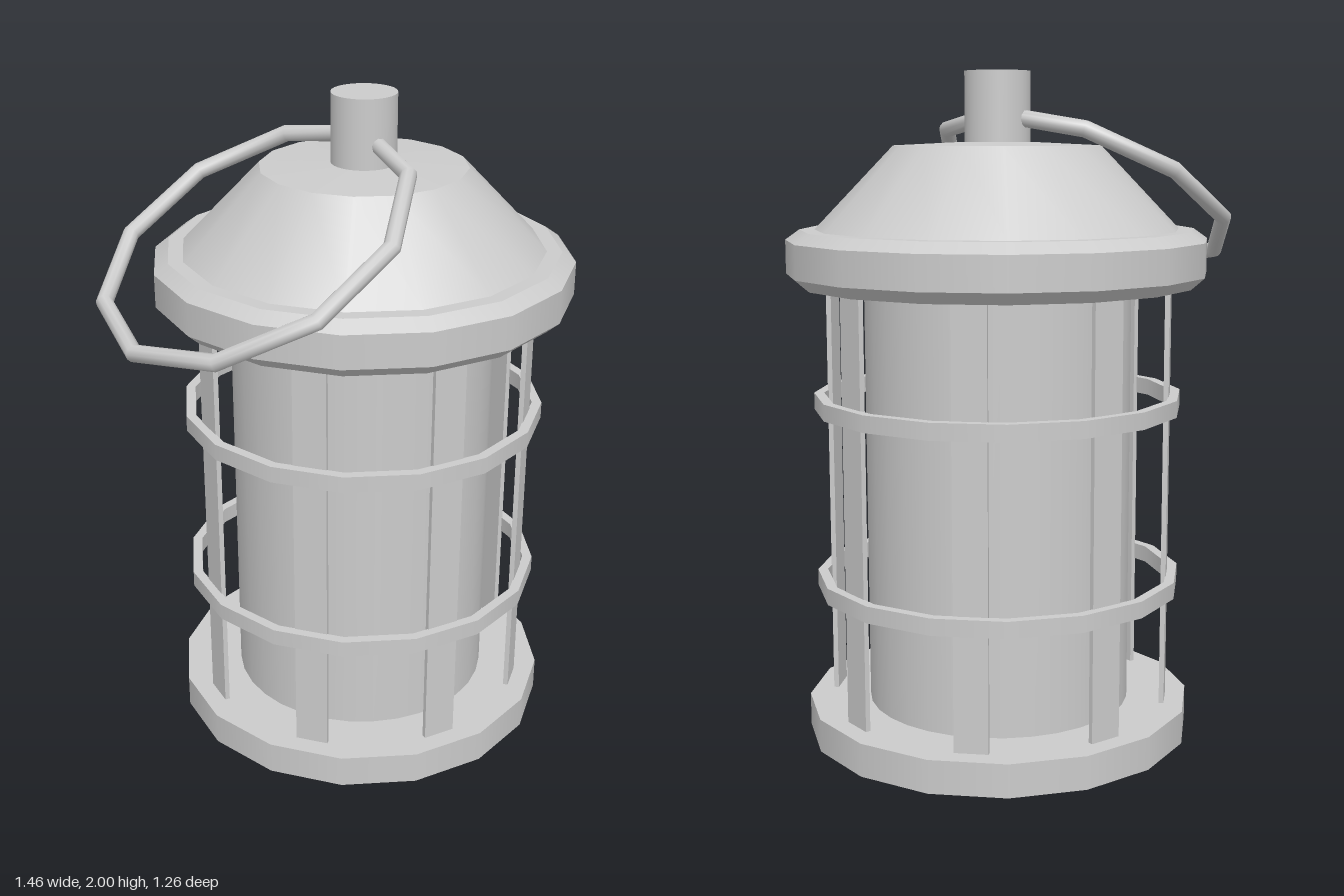
import * as THREE from 'three';

const AXIS_X = 0.1; // the lantern body stands beside the origin, the handle hangs to -x
const SIDES = 16;

const material = new THREE.MeshStandardMaterial({ color: 0xcccccc });

function mesh(name, geometry) {
  const m = new THREE.Mesh(geometry, material);
  m.name = name;
  return m;
}

// Turns each profile step as its own band, so edges between bands stay sharp.
function turned(name, profile) {
  const group = new THREE.Group();
  group.name = name;
  for (let i = 0; i < profile.length - 1; i++) {
    const points = [profile[i], profile[i + 1]].map(([r, y]) => new THREE.Vector2(r, y));
    group.add(mesh(name + 'Band', new THREE.LatheGeometry(points, SIDES, Math.PI / 2)));
  }
  return group;
}

function cylinder(name, radius, y0, y1, sides) {
  const g = new THREE.CylinderGeometry(radius, radius, y1 - y0, sides);
  g.translate(0, (y0 + y1) / 2, 0);
  return mesh(name, g);
}

export function createModel() {
  const model = new THREE.Group();
  model.name = 'lantern';
  const body = new THREE.Group();
  body.name = 'body';
  body.position.x = AXIS_X;
  model.add(body);

  // Base plate and glass
  body.add(turned('base', [[0, 0], [0.587, 0], [0.587, 0.1], [0, 0.1]]));
  body.add(cylinder('glass', 0.4, 0.09, 1.37, 32));

  // Eight flat upright bars
  for (let i = 0; i < 8; i++) {
    const angle = (i * 45 - 11.25) * Math.PI / 180;
    const bar = mesh('uprightBar', new THREE.BoxGeometry(0.1, 1.3, 0.015));
    bar.position.set(0.51 * Math.sin(angle), 0.73, 0.51 * Math.cos(angle));
    bar.rotation.y = angle;
    body.add(bar);
  }

  // Two guard hoops around the bars
  for (const y of [0.45, 1.0]) {
    body.add(turned('guardHoop', [
      [0.525, y], [0.555, y], [0.555, y + 0.05], [0.525, y + 0.05], [0.525, y],
    ]));
  }

  // Lid with bevelled rim and sloping roof
  body.add(turned('lid', [
    [0, 1.355], [0.42, 1.36], [0.59, 1.375], [0.63, 1.41], [0.63, 1.51],
    [0.588, 1.54], [0.543, 1.54], [0.308, 1.785], [0, 1.8],
  ]));

  // Knob
  body.add(cylinder('knob', 0.097, 1.78, 2.0, 32));

  // Ten-sided carrying ring, tilted down to one side
  const ring = new THREE.TorusGeometry(0.47, 0.025, 10, 10);
  ring.rotateX(Math.PI / 2);
  ring.rotateZ(Math.PI / 6);
  const handle = mesh('handle', ring);
  handle.position.set(-0.3, 1.642, 0);
  model.add(handle);

  return model;
}
